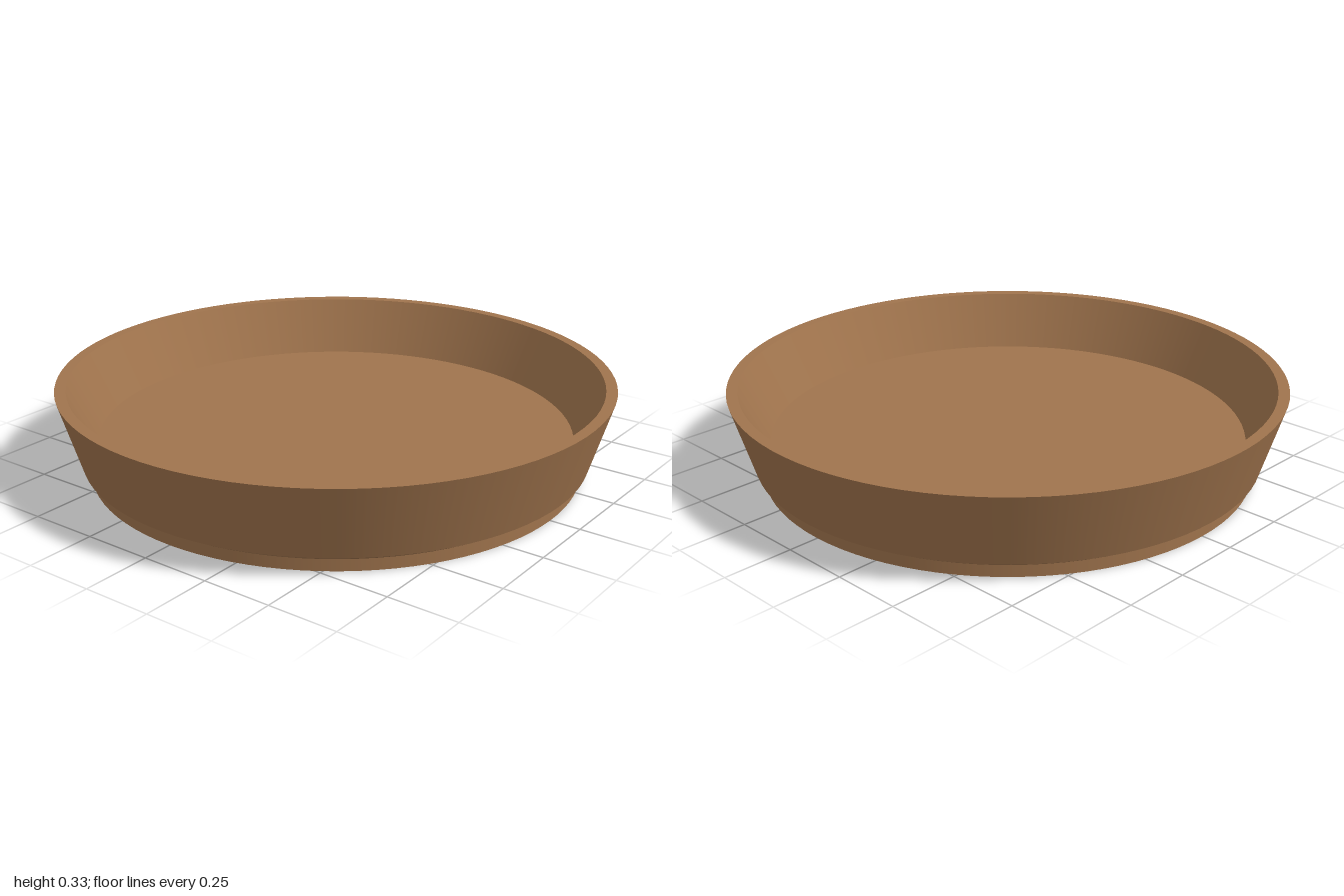
import * as THREE from 'three';
import { mergeGeometries } from 'three/addons/utils/BufferGeometryUtils.js';

const SEGMENTS = 96;

// Revolves each straight run of [radius, height] points on its own, keeping the edges sharp
function turned(profile) {
  const points = profile.map(([r, y]) => new THREE.Vector2(r, y));
  const rings = points.slice(1).map((p, i) => new THREE.LatheGeometry([points[i], p], SEGMENTS));
  return mergeGeometries(rings);
}

export function createModel() {
  const model = new THREE.Group();
  model.name = 'dish';

  const clay = new THREE.MeshStandardMaterial({ color: 0xa0744d });
  clay.name = 'clay brown';

  const addPart = (name, profile) => {
    const mesh = new THREE.Mesh(turned(profile), clay);
    mesh.name = name;
    model.add(mesh);
  };

  // Flat underside and short upright foot
  addPart('foot', [[0, 0], [0.89, 0], [0.89, 0.042]]);
  // Chamfered step, flared outer side, flat rim and sloping inner side
  addPart('wall', [[0.89, 0.042], [0.92, 0.06], [1, 0.328], [0.96, 0.328], [0.86, 0.125]]);
  // Flat inside floor
  addPart('floor', [[0.86, 0.125], [0, 0.125]]);

  return model;
}
